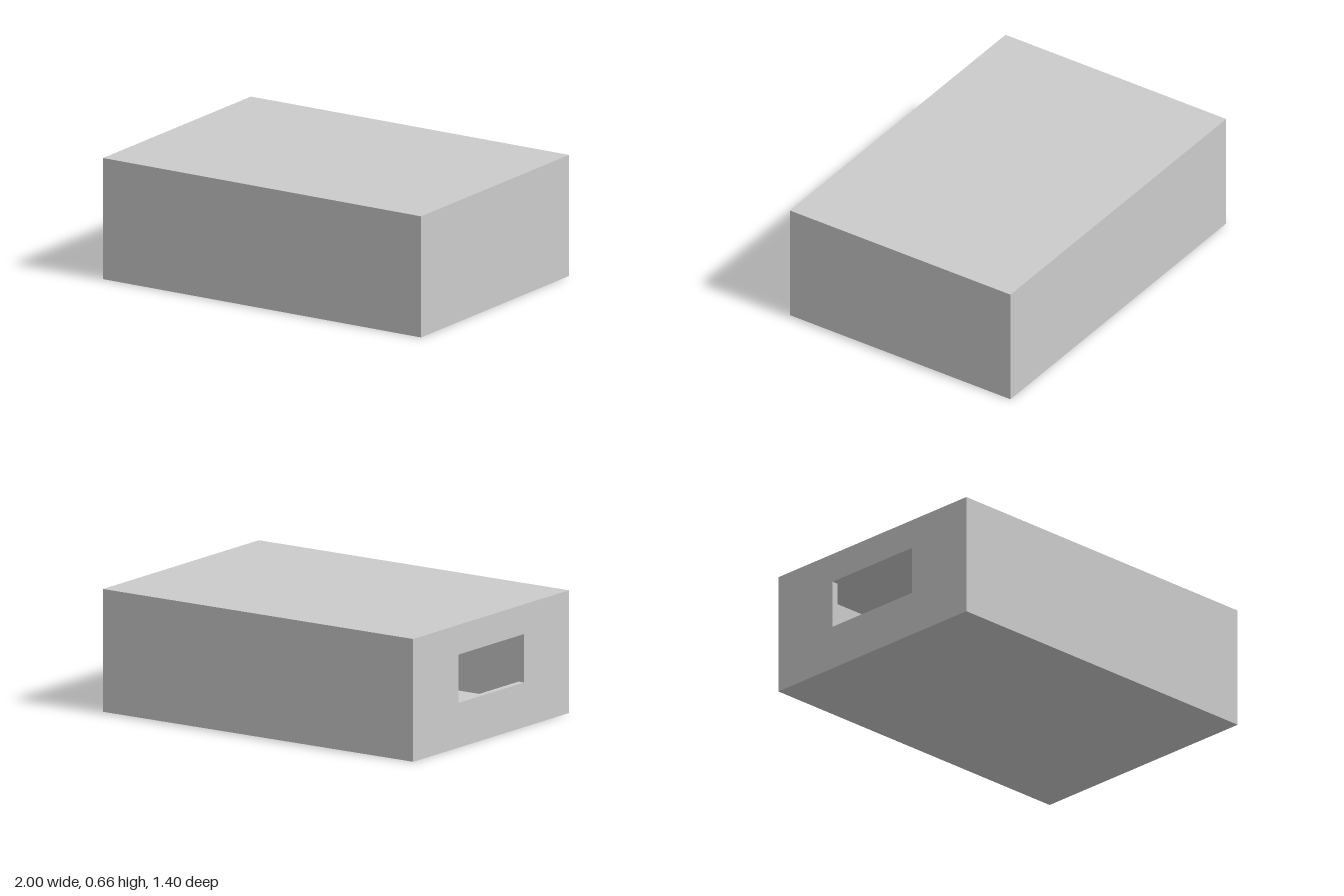
import * as THREE from 'three';
import { mergeGeometries } from 'three/addons/utils/BufferGeometryUtils.js';

const L = 2, H = 0.66, W = 1.4, T = 0.035;       // outer size and wall thickness
const HOLE = { y0: 0.24, y1: 0.5, halfW: 0.295 }; // opening in the -x end

// Box without the listed faces (0:+x 1:-x 2:+y 3:-y 4:+z 5:-z), optionally turned inside out
function openBox(size, centre, skip, inward) {
  const g = new THREE.BoxGeometry(...size);
  const index = [];
  for (let f = 0; f < 6; f++) {
    if (skip.includes(f)) continue;
    for (let i = f * 6; i < f * 6 + 6; i += 3) {
      const tri = [0, 1, 2].map((k) => g.index.getX(i + k));
      index.push(...(inward ? tri.reverse() : tri));
    }
  }
  g.setIndex(index);
  g.clearGroups();
  g.computeVertexNormals();
  return g.translate(...centre);
}

// Upright end panel with the rectangular opening, facing -x or +x
function endPanel(x, halfW, y0, y1, facing) {
  const rect = (w, a, b) => [[-w, a], [w, a], [w, b], [-w, b]].map((p) => new THREE.Vector2(...p));
  const shape = new THREE.Shape(rect(halfW, y0, y1));
  shape.holes.push(new THREE.Path(rect(HOLE.halfW, HOLE.y0, HOLE.y1).reverse()));
  return new THREE.ShapeGeometry(shape).rotateY(facing * Math.PI / 2).translate(x, 0, 0);
}

export function createModel() {
  const group = new THREE.Group();
  group.name = 'hollowBox';
  const material = new THREE.MeshStandardMaterial({ color: 0xcccccc, flatShading: true });
  const add = (name, geometries) => {
    const mesh = new THREE.Mesh(mergeGeometries(geometries), material);
    mesh.name = name;
    group.add(mesh);
  };

  // Outside of the walls
  add('outerShell', [
    openBox([L, H, W], [0, H / 2, 0], [1], false),
    endPanel(-L / 2, W / 2, 0, H, -1),
  ]);

  // Inside of the walls
  add('innerCavity', [
    openBox([L - 2 * T, H - 2 * T, W - 2 * T], [0, H / 2, 0], [1], true),
    endPanel(-L / 2 + T, W / 2 - T, T, H - T, 1),
  ]);

  // Sill, head and jambs through the wall thickness
  add('openingFrame', [
    openBox([T, HOLE.y1 - HOLE.y0, 2 * HOLE.halfW],
      [-L / 2 + T / 2, (HOLE.y0 + HOLE.y1) / 2, 0], [0, 1], true),
  ]);

  return group;
}
